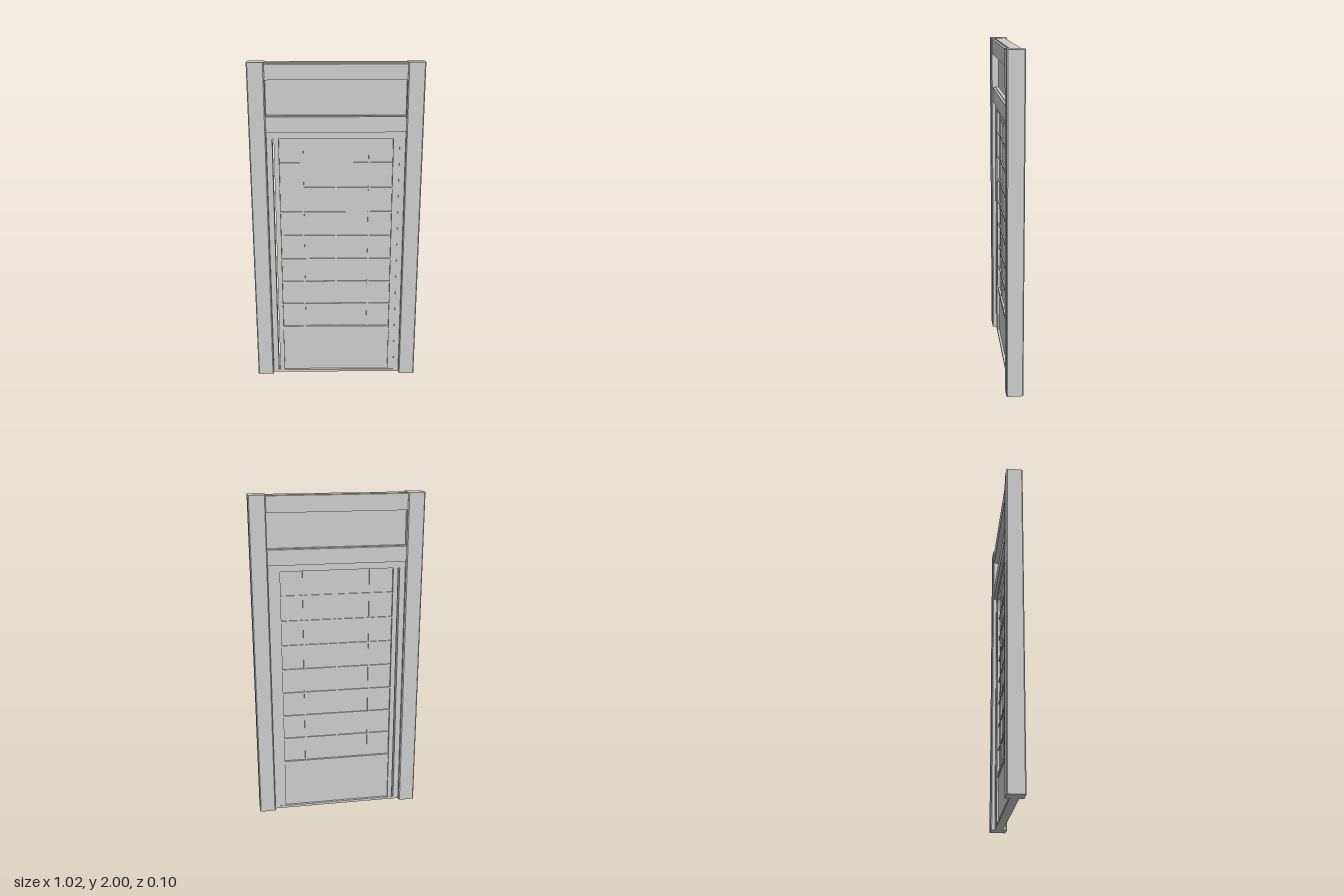
import * as THREE from 'three';

const material = new THREE.MeshStandardMaterial({ color: 0xcccccc, flatShading: true });

export function createModel() {
  const model = new THREE.Group();
  model.name = 'latticeDoorway';

  // Box given by its extents; depth runs from z0 to z1
  function box(parent, name, x0, x1, y0, y1, z0, z1) {
    const mesh = new THREE.Mesh(new THREE.BoxGeometry(x1 - x0, y1 - y0, z1 - z0), material);
    mesh.position.set((x0 + x1) / 2, (y0 + y1) / 2, (z0 + z1) / 2);
    mesh.name = name;
    parent.add(mesh);
    return mesh;
  }

  // Extrusion of a closed outline
  function prism(name, points, depth) {
    const shape = new THREE.Shape(points.map(([x, y]) => new THREE.Vector2(x, y)));
    const geometry = new THREE.ExtrudeGeometry(shape, { depth, bevelEnabled: false });
    const mesh = new THREE.Mesh(geometry, material);
    mesh.name = name;
    model.add(mesh);
    return mesh;
  }

  // Posts with chamfered vertical edges
  const h = 0.05, c = 0.006;
  const postOutline = [
    [-h + c, -h], [h - c, -h], [h, -h + c], [h, h - c],
    [h - c, h], [-h + c, h], [-h, h - c], [-h, -h + c],
  ];
  for (const side of [-1, 1]) {
    const post = prism(side > 0 ? 'leftPost' : 'rightPost', postOutline, 2);
    post.rotation.x = -Math.PI / 2;
    post.position.x = side * 0.458;
  }

  // Horizontal beams, outline in (-z, y), stepped along the front top edge
  function beam(name, y0, y1, step) {
    const outline = [
      [-0.04, y0], [0.042, y0], [0.042, y1 - 0.004], [0.038, y1],
      [-0.025, y1], [-0.025, y1 - step], [-0.04, y1 - step],
    ];
    const mesh = prism(name, outline, 0.824);
    mesh.rotation.y = Math.PI / 2;
    mesh.position.x = -0.412;
  }
  beam('topBeam', 1.9, 1.998, 0.008);
  beam('lowerBeam', 1.6, 1.695, 0.004);

  // Thin panel between the beams
  box(model, 'transomPanel', -0.412, 0.412, 1.69, 1.905, -0.008, 0.004);

  // Fixed frame around the door
  const frame = new THREE.Group();
  frame.name = 'doorFrame';
  model.add(frame);
  box(frame, 'rightJamb', -0.412, -0.375, 0, 1.602, -0.025, 0.025);
  box(frame, 'leftJamb', 0.375, 0.412, 0, 1.602, -0.025, 0.025);
  box(frame, 'headRail', -0.375, 0.375, 1.56, 1.602, -0.025, 0.025);
  box(frame, 'sill', -0.375, 0.375, 0, 0.015, -0.025, 0.025);

  // Door leaf, leaving a narrow slit at the right jamb
  const door = new THREE.Group();
  door.name = 'door';
  model.add(door);
  const inner = 0.337, top = 1.56, middle = 0.33, bottom = 0.015;
  box(door, 'rightStile', -0.366, -inner, bottom, top, -0.021, 0.021);
  box(door, 'leftStile', inner, 0.375, bottom, top, -0.021, 0.021);
  box(door, 'middleRail', -inner, inner, middle - 0.025, middle, -0.018, 0.018);
  box(door, 'lowerPanel', -inner, inner, bottom, middle - 0.025, -0.01, 0.01);
  box(door, 'screen', -inner, inner, middle, top, -0.005, 0.005);

  // Lattice bars on the screen
  const bar = 0.006;
  for (const x of [-0.2, 0, 0.2]) {
    box(door, 'verticalBar', x - bar, x + bar, middle, top, -0.012, 0.012);
  }
  for (let i = 1; i < 8; i++) {
    const y = middle + (top - middle) * i / 8;
    box(door, 'horizontalBar', -inner, inner, y - bar, y + bar, -0.013, 0.013);
  }

  return model;
}
